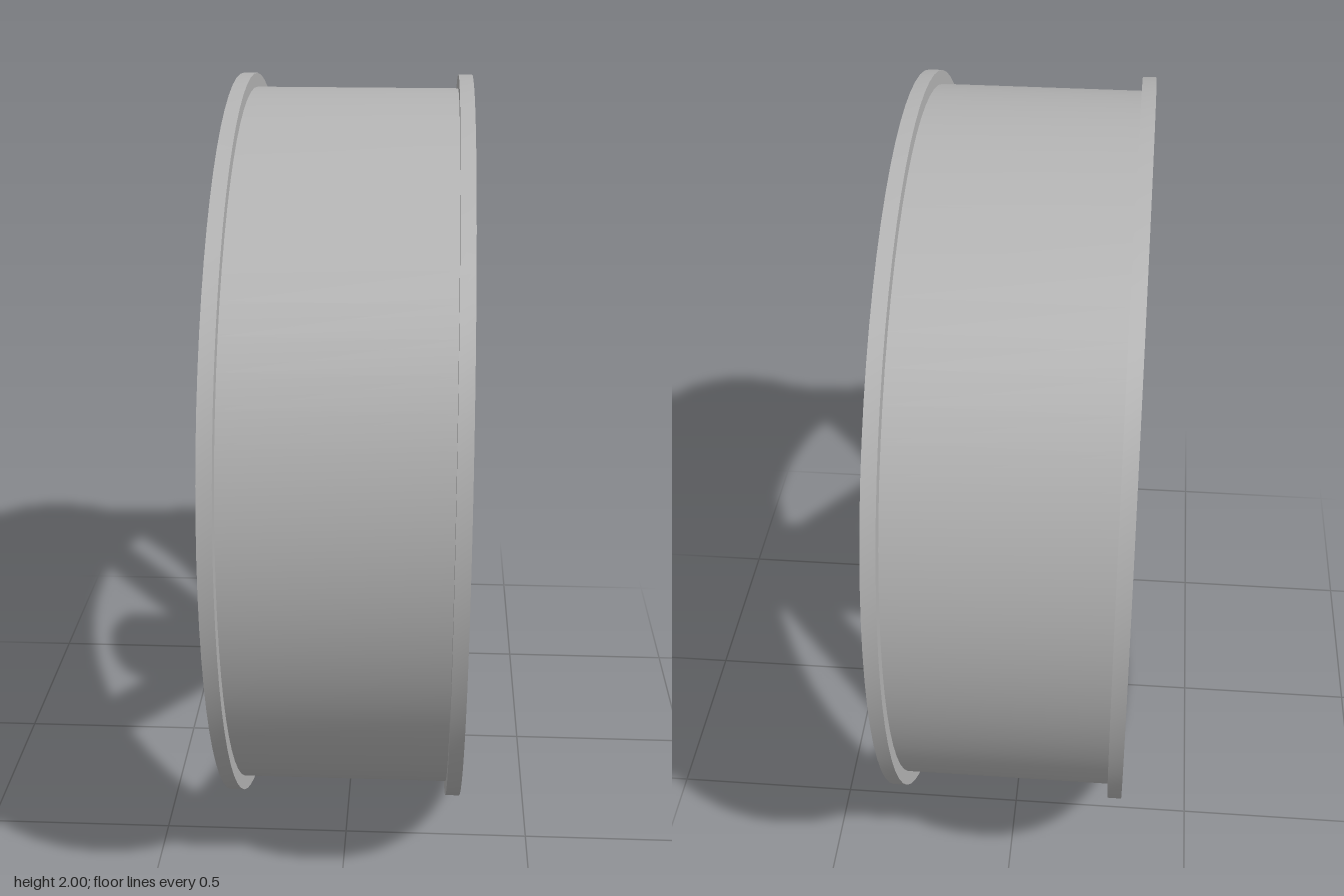
import * as THREE from 'three';
import { toCreasedNormals } from 'three/addons/utils/BufferGeometryUtils.js';

const HALF = 0.31;        // half the wheel width
const HUB_LENGTH = 0.37;
const SPOKE = 0.1;        // square spoke section

export function createModel() {
  const wheel = new THREE.Group();
  wheel.name = 'wheel';
  const grey = new THREE.MeshStandardMaterial({ color: 0xb4b4b4 });
  grey.name = 'grey';

  const add = (name, geometry, parent = wheel) => {
    const mesh = new THREE.Mesh(geometry, grey);
    mesh.name = name;
    parent.add(mesh);
    return mesh;
  };

  // Rim: a thin band with a raised flange on both edges, turned about x
  const profile = [
    [0.91, -HALF], [1, -HALF], [1, -0.273], [0.963, -0.273],
    [0.963, 0.273], [1, 0.273], [1, HALF], [0.91, HALF], [0.91, -HALF],
  ].map(([r, y]) => new THREE.Vector2(r, y));
  const rim = new THREE.LatheGeometry(profile, 72);
  rim.rotateZ(-Math.PI / 2);
  add('rim', toCreasedNormals(rim, 0.5));

  // Hub: a tube with a hexagonal bore, flush with the right-hand rim face
  const outline = new THREE.Shape().absarc(0, 0, 0.2, 0, Math.PI * 2, false);
  const bore = [];
  for (let i = 0; i < 6; i++) {
    const a = Math.PI / 2 + (i * Math.PI) / 3;
    bore.push(new THREE.Vector2(Math.cos(a) * 0.138, Math.sin(a) * 0.138));
  }
  outline.holes.push(new THREE.Path(bore));
  const hub = new THREE.ExtrudeGeometry(outline, {
    depth: HUB_LENGTH, bevelEnabled: false, curveSegments: 40,
  });
  hub.rotateY(Math.PI / 2);
  hub.translate(HALF - HUB_LENGTH, 0, 0);
  add('hub', toCreasedNormals(hub, 0.5));

  // Five spokes on the same face, the first pointing straight back
  const inner = 0.185, outer = 0.92;
  const bar = new THREE.BoxGeometry(SPOKE, SPOKE, outer - inner);
  bar.translate(HALF - SPOKE / 2, 0, -(inner + outer) / 2);
  const spokes = new THREE.Group();
  spokes.name = 'spokes';
  wheel.add(spokes);
  for (let i = 0; i < 5; i++) {
    add('spoke', bar, spokes).rotation.x = (i * Math.PI * 2) / 5;
  }

  // Stand the wheel on the ground
  wheel.position.y = 1;
  const model = new THREE.Group();
  model.name = 'spokedWheel';
  model.add(wheel);
  return model;
}
